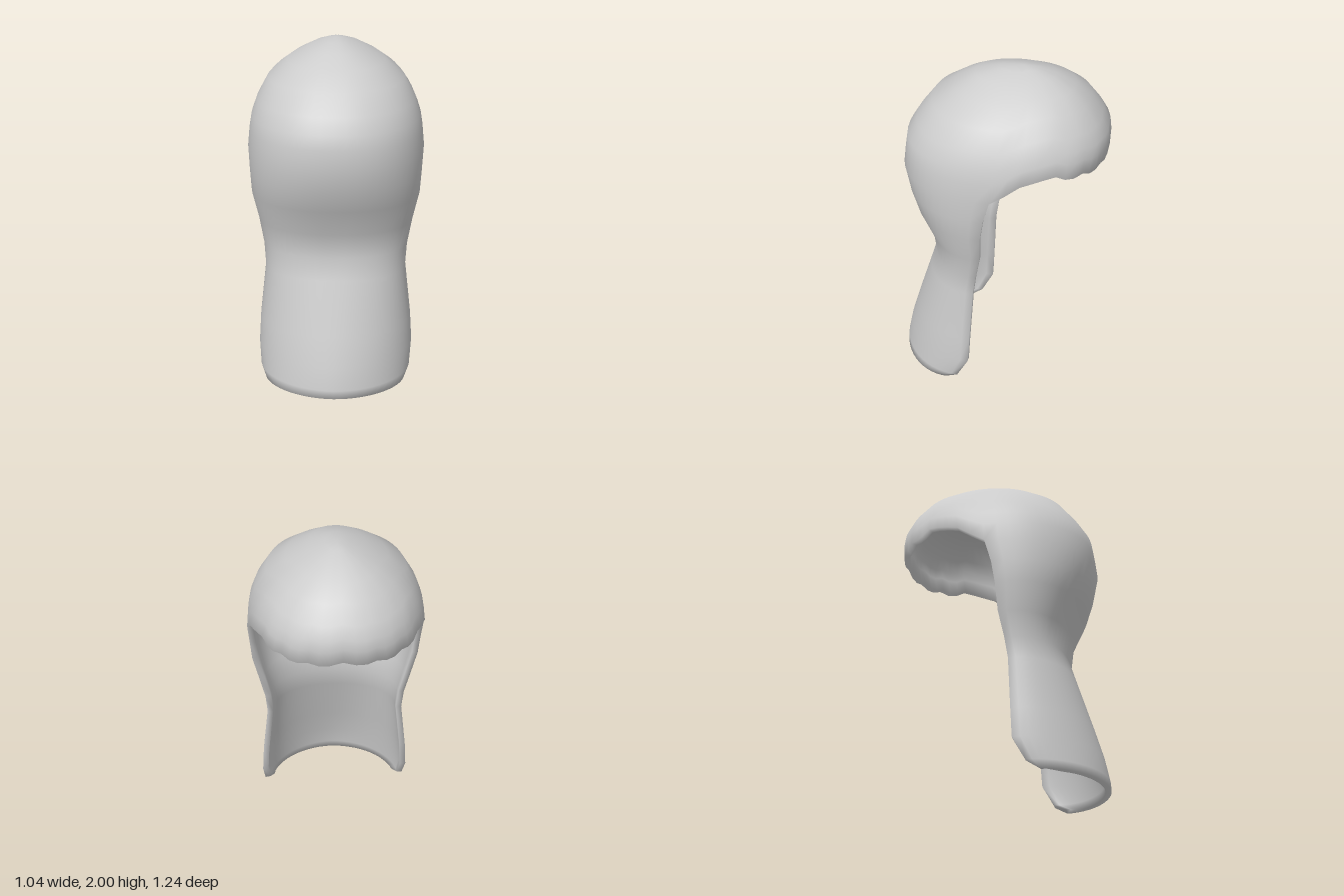
import * as THREE from 'three';
import { mergeVertices } from 'three/addons/utils/BufferGeometryUtils.js';

// Cross-sections: height, half width, front z, side edge z, fringe z
const SECTIONS = [
  [0.0, 0.42, 0.62, 0.30, -0.5], [0.05, 0.452, 0.617, 0.22, -0.5],
  [0.18, 0.465, 0.59, 0.15, -0.5], [0.35, 0.455, 0.54, 0.14, -0.5],
  [0.67, 0.42, 0.44, 0.12, -0.5], [0.80, 0.43, 0.40, 0.10, -0.5],
  [0.95, 0.46, 0.42, 0.07, -0.5], [1.12, 0.50, 0.505, 0.06, -0.5],
  [1.25, 0.51, 0.55, 0.04, -0.5], [1.39, 0.52, 0.58, 0, -0.57],
  [1.50, 0.51, 0.567, -0.01, -0.61], [1.58, 0.497, 0.555, -0.02, -0.62],
  [1.67, 0.465, 0.50, -0.03, -0.61], [1.79, 0.40, 0.41, -0.06, -0.54],
  [1.88, 0.29, 0.28, -0.09, -0.45], [1.95, 0.165, 0.165, -0.10, -0.33],
  [1.985, 0.07, 0.03, -0.11, -0.22], [2.0, 0, -0.11, -0.11, -0.11],
];
// Fringe hem: position from side edge (0) to middle (1), height
const HEM = [[0, 1.39], [0.15, 1.51], [0.34, 1.555], [0.45, 1.54], [0.6, 1.525], [0.8, 1.52], [1, 1.535]];
const CAP_ROW = 9;
const COLUMNS = 56;
const THICKNESS = 0.035;

// Linear lookup in a table keyed by its first entry
function lookup(table, key) {
  let i = 0;
  while (i < table.length - 2 && key > table[i + 1][0]) i++;
  const a = table[i], b = table[i + 1];
  const t = THREE.MathUtils.clamp((key - a[0]) / (b[0] - a[0]), 0, 1);
  return a.map((v, k) => v + (b[k] - v) * t);
}

function hemHeight(b) {
  const scallop = b > 0.36 ? 0.022 * Math.abs(Math.sin((b - 0.36) / 0.64 * Math.PI * 3)) : 0;
  return lookup(HEM, b)[1] - scallop;
}

// Point on the outer skin: angle 0 faces +z, beyond a quarter turn lies the fringe
function skinPoint(angle, row) {
  const s = Math.sin(angle), c = Math.cos(angle);
  const past = Math.abs(angle) / (Math.PI / 2) - 1;
  let y = SECTIONS[row][0];
  if (past > 1e-6) y = 2 - (2 - y) * (2 - hemHeight(past)) / (2 - SECTIONS[CAP_ROW][0]);
  const [, w, front, edge, back] = lookup(SECTIONS, y);
  const power = 2 / (1.85 + 0.4 * Math.min(1, y / 0.8));
  const bend = (v) => (Math.abs(v) < 1e-6 ? 0 : Math.abs(v) ** power);
  const z = edge + (c > 0 ? front - edge : back - edge) * bend(c);
  return [Math.sign(s) * w * bend(s), y, z];
}

// Open outer skin: full rings for the cap, half rings for the long part
function outerSkin() {
  const pos = [], index = [], rows = SECTIONS.length;
  for (let j = 0; j < rows; j++) {
    for (let i = 0; i <= COLUMNS; i++) pos.push(...skinPoint((i / COLUMNS * 2 - 1) * Math.PI, j));
  }
  const at = (i, j) => j * (COLUMNS + 1) + i;
  for (let j = 0; j < rows - 1; j++) {
    const skip = j < CAP_ROW ? COLUMNS / 4 : 0;
    for (let i = skip; i < COLUMNS - skip; i++) {
      index.push(at(i, j), at(i + 1, j), at(i + 1, j + 1));
      if (j < rows - 2) index.push(at(i, j), at(i + 1, j + 1), at(i, j + 1));
    }
  }
  const geometry = new THREE.BufferGeometry();
  geometry.setAttribute('position', new THREE.Float32BufferAttribute(pos, 3));
  geometry.setIndex(index);
  const merged = mergeVertices(geometry, 1e-4);
  merged.computeVertexNormals();
  return merged;
}

// Give a skin an inner lining and close its rim
function thicken(skin, depth) {
  const p = skin.attributes.position, n = skin.attributes.normal, count = p.count;
  const outer = Array.from(skin.index.array);
  const pos = Array.from(p.array);
  for (let i = 0; i < count; i++) {
    pos.push(p.getX(i) - n.getX(i) * depth, Math.max(0, p.getY(i) - n.getY(i) * depth), p.getZ(i) - n.getZ(i) * depth);
  }
  const index = [...outer], edges = new Set();
  for (let t = 0; t < outer.length; t += 3) {
    const [a, b, c] = outer.slice(t, t + 3);
    index.push(a + count, c + count, b + count);
    for (const [u, v] of [[a, b], [b, c], [c, a]]) edges.add(u + '_' + v);
  }
  for (const edge of edges) {
    const [u, v] = edge.split('_').map(Number);
    if (!edges.has(v + '_' + u)) index.push(u, u + count, v, v, u + count, v + count);
  }
  const geometry = new THREE.BufferGeometry();
  geometry.setAttribute('position', new THREE.Float32BufferAttribute(pos, 3));
  geometry.setIndex(index);
  geometry.computeVertexNormals();
  return geometry;
}

export function createModel() {
  const group = new THREE.Group();
  group.name = 'hair';
  const paleGrey = new THREE.MeshStandardMaterial({ color: 0xcccccc, side: THREE.DoubleSide });
  paleGrey.name = 'paleGrey';
  const shell = new THREE.Mesh(thicken(outerSkin(), THICKNESS), paleGrey);
  shell.name = 'hairShell';
  group.add(shell);
  return group;
}
